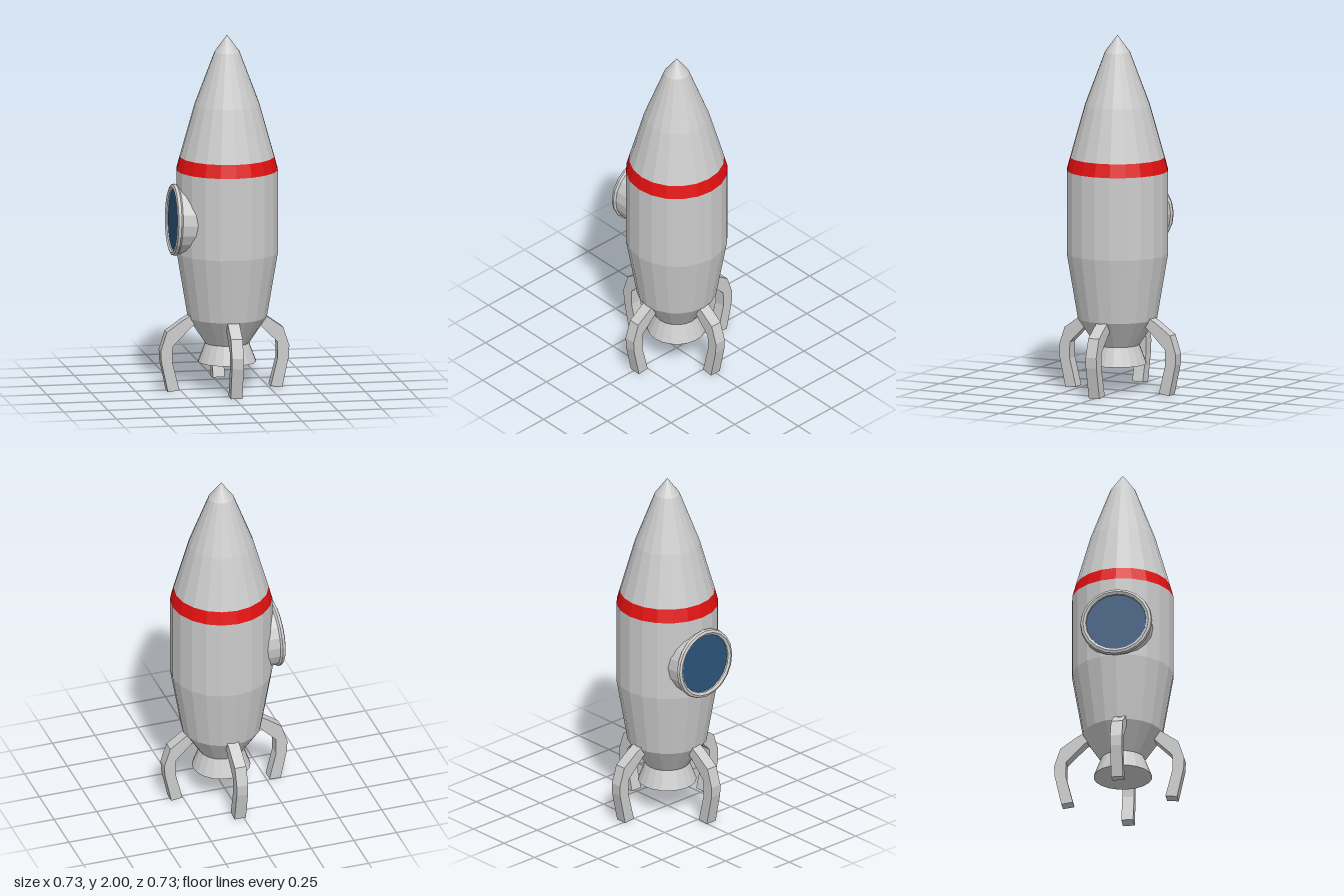
import * as THREE from 'three';

const SIDES = 20;
const grey = new THREE.MeshStandardMaterial({ color: 0xcccccc, flatShading: true, side: THREE.DoubleSide });
const red = new THREE.MeshStandardMaterial({ color: 0xe01010, flatShading: true, side: THREE.DoubleSide });
const blue = new THREE.MeshStandardMaterial({ color: 0x2c5378 });

function named(name, geometry, material) {
  const mesh = new THREE.Mesh(geometry, material);
  mesh.name = name;
  return mesh;
}

// Turned part from [radius, height] pairs, bottom to top
function turned(name, profile, material) {
  const points = profile.map(([r, y]) => new THREE.Vector2(r, y));
  return named(name, new THREE.LatheGeometry(points, SIDES), material);
}

function createBody() {
  const body = new THREE.Group();
  body.name = 'body';
  body.add(
    turned('hull', [[0, 0.26], [0.122, 0.26], [0.222, 0.41], [0.284, 0.775], [0.284, 1.24]], grey),
    turned('stripe', [[0.284, 1.24], [0.264, 1.315]], red),
    turned('noseCone', [[0.264, 1.315], [0.181, 1.61], [0.07, 1.905], [0, 2]], grey),
  );
  const nozzle = named('nozzle', new THREE.CylinderGeometry(0.122, 0.163, 0.108, SIDES), grey);
  nozzle.position.y = 0.209;
  body.add(nozzle);
  body.position.set(0.015, 0, 0.013);
  return body;
}

// Round window with a raised rim, facing -x and tipped slightly upward
function createWindow() {
  const porthole = new THREE.Group();
  porthole.name = 'porthole';
  const rim = turned('windowRim', [
    [0.192, -0.13], [0.192, 0], [0.202, 0.01], [0.198, 0.026],
    [0.184, 0.032], [0.17, 0.024], [0.167, 0.012],
  ], grey);
  const glass = named('windowGlass', new THREE.CylinderGeometry(0.168, 0.168, 0.02, SIDES), blue);
  glass.position.y = 0.007;
  porthole.add(rim, glass);
  porthole.rotation.z = Math.PI / 2 - 0.03;
  porthole.position.set(-0.27, 0.965, 0.018);
  return porthole;
}

// Bent leg outline (distance from axis, height), extruded to an even width
function legGeometry() {
  const outline = [
    [0.19, 0.43], [0.237, 0.403], [0.328, 0.338], [0.362, 0.235], [0.36, 0.175], [0.322, 0],
    [0.257, 0.008], [0.296, 0.165], [0.295, 0.257], [0.19, 0.362], [0.16, 0.382],
  ];
  const shape = new THREE.Shape(outline.map(([x, y]) => new THREE.Vector2(x, y)));
  const width = 0.066;
  return new THREE.ExtrudeGeometry(shape, { depth: width, bevelEnabled: false }).translate(0, 0, -width / 2);
}

export function createModel() {
  const model = new THREE.Group();
  model.name = 'rocket';
  model.add(createBody(), createWindow());

  // Four landing legs: name, turn, and small offsets in x and z
  const geometry = legGeometry();
  const legs = [
    ['leftLeg', 0, 0, 0.003],
    ['backLeg', Math.PI / 2, 0.021, -0.006],
    ['rightLeg', Math.PI, -0.006, 0.029],
    ['frontLeg', -Math.PI / 2, 0.01, 0],
  ];
  for (const [name, turn, x, z] of legs) {
    const leg = named(name, geometry, grey);
    leg.rotation.y = turn;
    leg.position.set(x, 0, z);
    model.add(leg);
  }
  return model;
}
